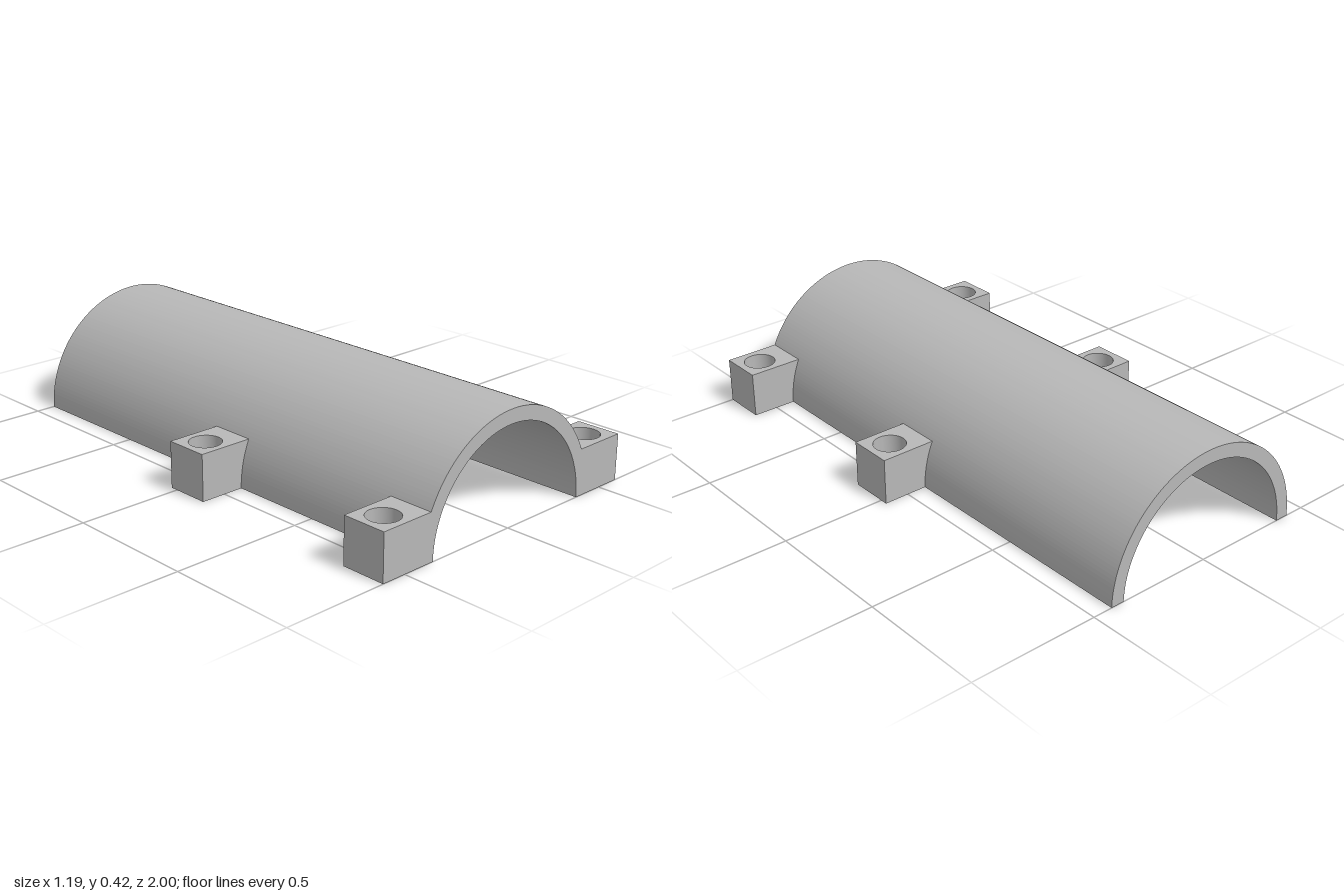
import * as THREE from 'three';
import { toCreasedNormals } from 'three/addons/utils/BufferGeometryUtils.js';

const OUTER = 0.423, INNER = 0.37, LENGTH = 2;
const LUG = { height: 0.176, width: 0.172, end: 0.597, holeX: 0.51, holeR: 0.06 };

// Half-pipe arch running along z
function shellGeometry() {
  const shape = new THREE.Shape();
  shape.absarc(0, 0, OUTER, 0, Math.PI, false);
  shape.absarc(0, 0, INNER, Math.PI, 0, true);
  shape.closePath();
  const geo = new THREE.ExtrudeGeometry(shape, { depth: LENGTH, bevelEnabled: false, curveSegments: 48 });
  return geo.translate(0, 0, -LENGTH / 2);
}

// Block with a vertical bolt hole, its inner face curved to follow the shell
function lugGeometry() {
  const half = LUG.width / 2, inner = 0.4;
  const shape = new THREE.Shape();
  shape.moveTo(inner, -half);
  shape.lineTo(LUG.end, -half);
  shape.lineTo(LUG.end, half);
  shape.lineTo(inner, half);
  shape.closePath();
  const hole = new THREE.Path();
  hole.absarc(LUG.holeX, 0, LUG.holeR, 0, Math.PI * 2, true);
  shape.holes.push(hole);
  const geo = new THREE.ExtrudeGeometry(shape, {
    depth: LUG.height, steps: 6, bevelEnabled: false, curveSegments: 20,
  });
  geo.rotateX(-Math.PI / 2);
  const p = geo.attributes.position;
  for (let i = 0; i < p.count; i++) {
    if (p.getX(i) < inner + 0.01) p.setX(i, Math.sqrt((OUTER - 0.003) ** 2 - p.getY(i) ** 2));
  }
  return toCreasedNormals(geo, 0.5);
}

export function createModel() {
  const grey = new THREE.MeshStandardMaterial({ color: 0xb8b8b8 });
  grey.name = 'grey';
  const model = new THREE.Group();
  model.name = 'halfPipeClamp';

  const shell = new THREE.Mesh(shellGeometry(), grey);
  shell.name = 'shell';
  model.add(shell);

  // Two pairs of mounting lugs: front end and middle
  const lugGeo = lugGeometry();
  for (const [place, z] of [['front', 1 - LUG.width / 2], ['middle', 0.057]]) {
    for (const [side, angle] of [['Left', 0], ['Right', Math.PI]]) {
      const lug = new THREE.Mesh(lugGeo, grey);
      lug.name = `${place}${side}Lug`;
      lug.position.z = z;
      lug.rotation.y = angle;
      model.add(lug);
    }
  }
  return model;
}
